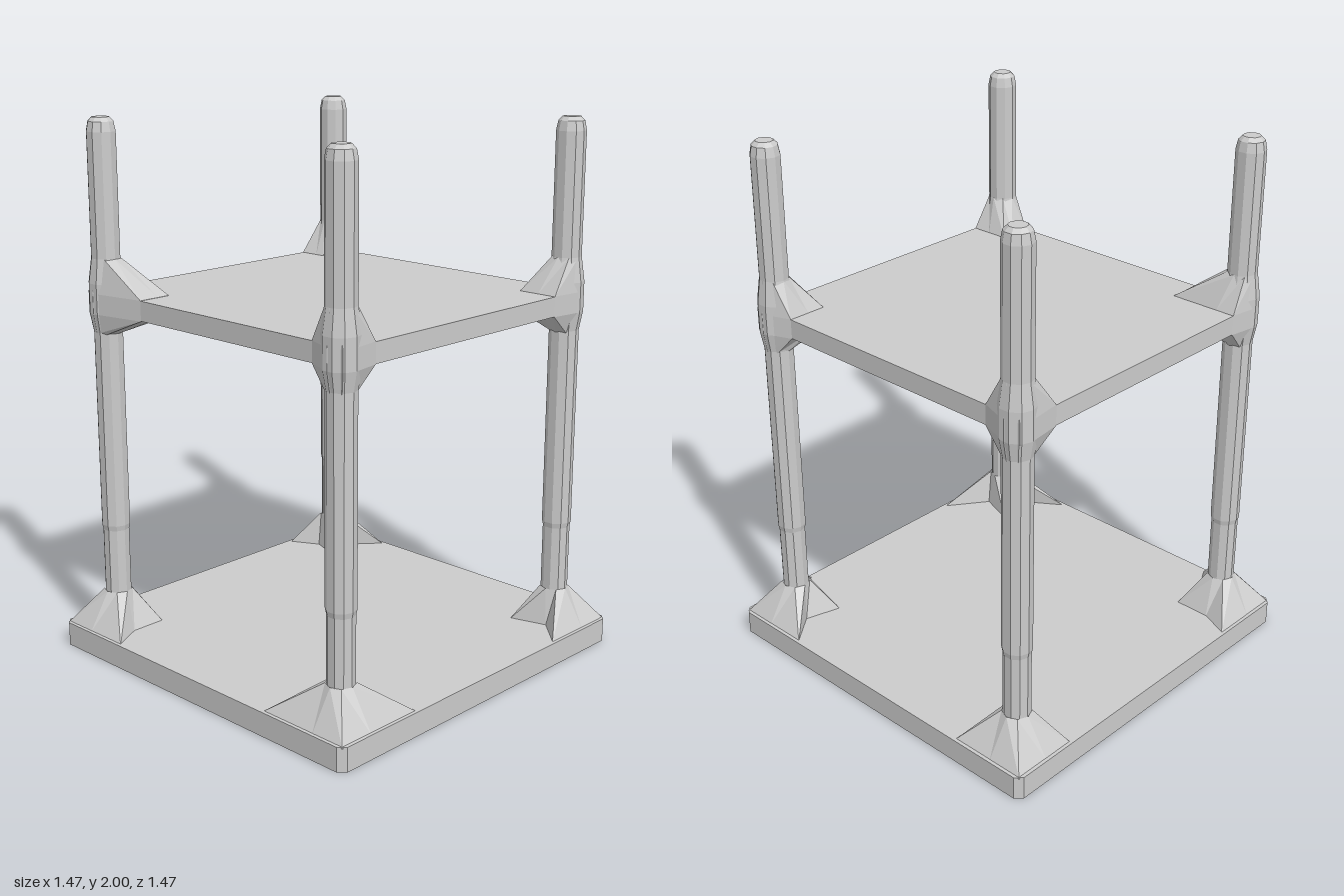
import * as THREE from 'three';

const material = new THREE.MeshStandardMaterial({ color: 0xcccccc, flatShading: true });
const POST = 0.587; // distance of each post axis from the centre planes

function part(name, geometry, y = 0) {
  const mesh = new THREE.Mesh(geometry, material);
  mesh.name = name;
  mesh.position.y = y;
  return mesh;
}

// Octagon around the post axis, in outward-facing corner coordinates
function ring(r) {
  return Array.from({ length: 8 }, (_, k) => {
    const a = (k * Math.PI) / 4;
    return [POST + r * Math.cos(a), POST + r * Math.sin(a)];
  });
}

// Skin over stacked eight-point sections, mirrored into the corner (sx, sz)
function loft(sections, sx, sz) {
  const positions = [];
  const put = (s, k) => {
    const [u, v] = s.points[k % 8];
    positions.push(u * sx, s.y, v * sz);
  };
  for (let i = 0; i < sections.length - 1; i++) {
    const lo = sections[i], hi = sections[i + 1];
    for (let k = 0; k < 8; k++) {
      const corners = [[lo, k], [hi, k], [lo, k + 1], [lo, k + 1], [hi, k], [hi, k + 1]];
      if (sx * sz < 0) corners.reverse();
      corners.forEach(([s, n]) => put(s, n));
    }
  }
  const geometry = new THREE.BufferGeometry();
  geometry.setAttribute('position', new THREE.Float32BufferAttribute(positions, 3));
  geometry.computeVertexNormals();
  return geometry;
}

// Flared foot: ribs run along both plate edges and towards the middle
function footGeometry({ sx, sz, footX, footZ, notch }) {
  const e = 0.725;
  const base = [
    [e, POST], [e, e], [POST, e], [footX, e],
    [notch, 0.61], [0.47, 0.47], [0.61, notch], [e, footZ],
  ];
  return loft([
    { y: 0.085, points: base },
    { y: 0.225, points: ring(0.053) },
  ], sx, sz);
}

// Bracket that clasps the shelf corner, tapering to the post above and below
function bracketGeometry({ sx, sz, inX, inZ, ribZ }) {
  const clasp = [
    [0.652, POST], [0.633, 0.635], [POST, 0.652], [inX, 0.635],
    [inX, 0.56], [inX, inZ], [0.53, ribZ], [0.61, ribZ],
  ];
  return loft([
    { y: 1.225, points: ring(0.052) },
    { y: 1.3, points: clasp },
    { y: 1.375, points: clasp },
    { y: 1.5, points: ring(0.052) },
  ], sx, sz);
}

export function createModel() {
  const model = new THREE.Group();
  model.name = 'twoTierShelf';

  // Base plate with clipped corners
  const h = 0.735, c = 0.025;
  const outline = new THREE.Shape([
    [h - c, -h], [h, c - h], [h, h - c], [h - c, h],
    [c - h, h], [-h, h - c], [-h, c - h], [c - h, -h],
  ].map(([x, y]) => new THREE.Vector2(x, y)));
  const plate = new THREE.ExtrudeGeometry(outline, { depth: 0.09, bevelEnabled: false });
  plate.rotateX(-Math.PI / 2);
  model.add(part('basePlate', plate));

  // Upper shelf
  model.add(part('shelf', new THREE.BoxGeometry(1.22, 0.073, 1.27), 1.3375));

  // Post profile: slim foot, long shaft, swollen collar, rounded tip
  const profile = [
    [0, 0.05], [0.05, 0.05], [0.05, 0.47], [0.054, 0.49], [0.054, 1.23],
    [0.067, 1.3], [0.067, 1.41], [0.054, 1.5], [0.054, 1.95],
    [0.047, 1.985], [0.032, 2], [0, 2],
  ].map(([r, y]) => new THREE.Vector2(r, y));

  const corners = [
    { name: 'frontLeft', sx: 1, sz: 1, footX: 0.4, footZ: 0.42, notch: 0.51, inX: 0.46, inZ: 0.48, ribZ: 0.48 },
    { name: 'frontRight', sx: -1, sz: 1, footX: 0.36, footZ: 0.35, notch: 0.52, inX: 0.48, inZ: 0.48, ribZ: 0.48 },
    { name: 'backLeft', sx: 1, sz: -1, footX: 0.46, footZ: 0.42, notch: 0.52, inX: 0.46, inZ: 0.52, ribZ: 0.47 },
    { name: 'backRight', sx: -1, sz: -1, footX: 0.42, footZ: 0.41, notch: 0.47, inX: 0.48, inZ: 0.37, ribZ: 0.37 },
  ];
  for (const corner of corners) {
    const group = new THREE.Group();
    group.name = corner.name + 'Corner';
    const post = part('post', new THREE.LatheGeometry(profile, 10));
    post.position.set(corner.sx * POST, 0, corner.sz * POST);
    group.add(
      post,
      part('foot', footGeometry(corner)),
      part('shelfBracket', bracketGeometry(corner)),
    );
    model.add(group);
  }
  return model;
}
